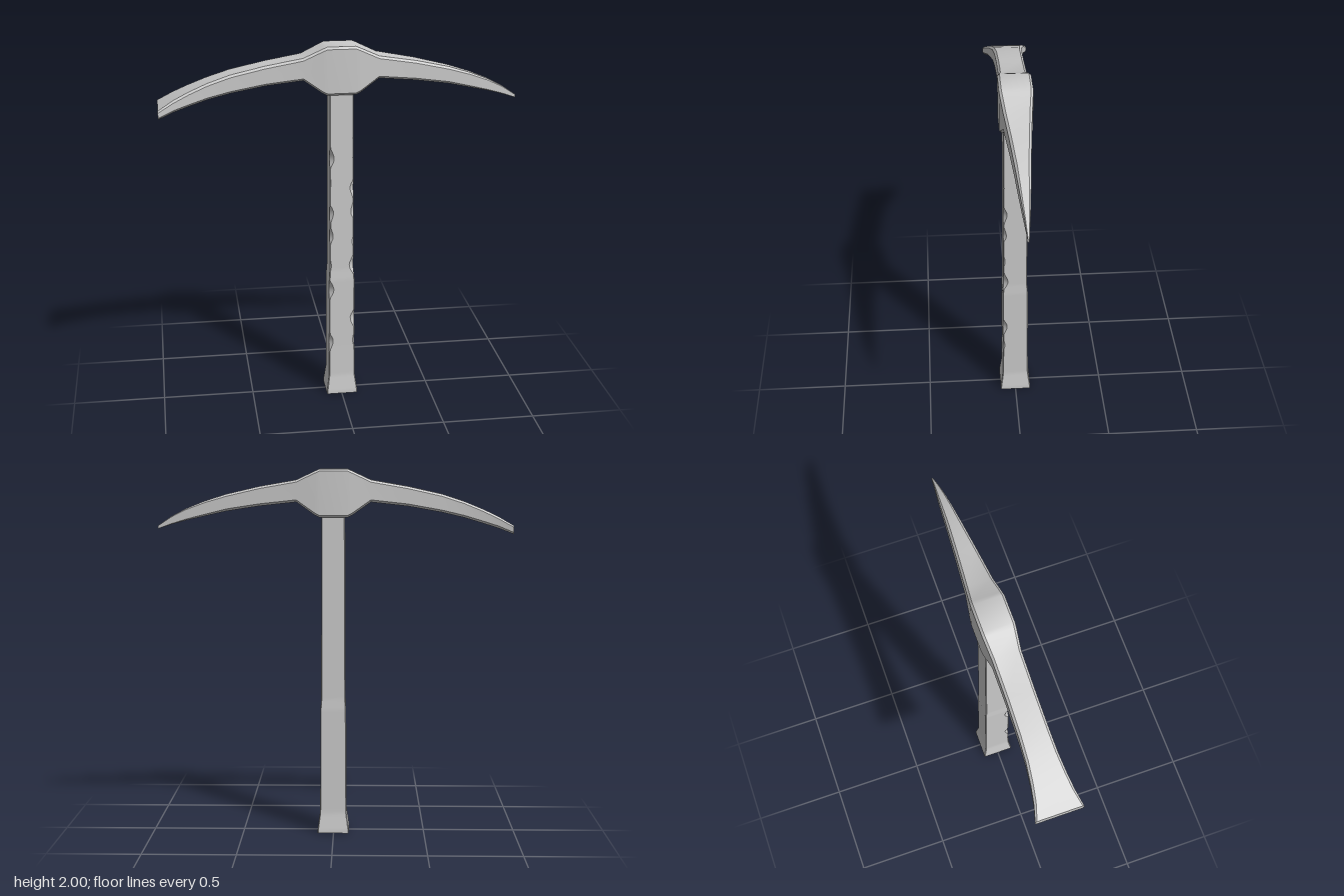
import * as THREE from 'three';
import { toCreasedNormals } from 'three/addons/utils/BufferGeometryUtils.js';

// Bevelled rectangle, counter-clockwise in (u, v); one bevel per corner: ++, -+, --, +-
function section(u0, u1, v0, v1, [a, b, c, d]) {
  return [
    [u1, v1 - a], [u1 - a, v1], [u0 + b, v1], [u0, v1 - b],
    [u0, v0 + c], [u0 + c, v0], [u1 - d, v0], [u1, v0 + d],
  ];
}

// Skin a list of rings (arrays of [x, y, z]) and close both ends
function loft(rings, crease) {
  const n = rings[0].length, last = rings.length - 1;
  const pos = rings.flat(2), index = [];
  for (let i = 0; i < last; i++) {
    for (let j = 0; j < n; j++) {
      const a = i * n + j, b = i * n + (j + 1) % n;
      index.push(a, b, b + n, a, b + n, a + n);
    }
  }
  for (let j = 1; j < n - 1; j++) {
    index.push(0, j + 1, j, last * n, last * n + j, last * n + j + 1);
  }
  const geo = new THREE.BufferGeometry();
  geo.setAttribute('position', new THREE.Float32BufferAttribute(pos, 3));
  geo.setIndex(index);
  return toCreasedNormals(geo, crease);
}

// Linear lookup in rows of [key, ...values]
function sample(rows, t) {
  let i = 0;
  while (i < rows.length - 2 && t > rows[i + 1][0]) i++;
  const k = (t - rows[i][0]) / (rows[i + 1][0] - rows[i][0]);
  return rows[i].map((v, j) => THREE.MathUtils.lerp(v, rows[i + 1][j], k));
}

export function createModel() {
  const group = new THREE.Group();
  const material = new THREE.MeshStandardMaterial({ color: 0xcccccc });
  const add = (name, geometry) => {
    const mesh = new THREE.Mesh(geometry, material);
    mesh.name = name;
    group.add(mesh);
  };

  // Head: flared blade at -x, thick socket in the middle, spike at +x
  // Columns: x, bottom y, top y, half depth
  const head = [
    [-0.96, 1.655, 1.70, 0.125],
    [-0.88, 1.685, 1.747, 0.105],
    [-0.8, 1.71, 1.785, 0.092],
    [-0.7, 1.74, 1.826, 0.081],
    [-0.58, 1.768, 1.865, 0.076],
    [-0.4, 1.80, 1.905, 0.074],
    [-0.2, 1.822, 1.94, 0.075],
    [-0.1, 1.752, 1.987, 0.085],
    [-0.075, 1.74, 1.998, 0.087],
    [0.075, 1.74, 1.998, 0.087],
    [0.1, 1.752, 1.987, 0.085],
    [0.2, 1.822, 1.94, 0.073],
    [0.4, 1.80, 1.905, 0.055],
    [0.58, 1.772, 1.863, 0.04],
    [0.7, 1.745, 1.825, 0.03],
    [0.8, 1.722, 1.785, 0.021],
    [0.88, 1.70, 1.743, 0.012],
    [0.955, 1.675, 1.692, 0.004],
  ];
  add('head', loft(head.map(([x, y0, y1, w]) => {
    const r = Math.min(0.012, w * 0.3, (y1 - y0) * 0.2);
    return section(y0, y1, -w - 0.003, w - 0.003, [r, r, r, r]).map(([y, z]) => [x, y, z]);
  }), 0.6));

  // Handle: square shaft with a flared butt and a shallow step; front edges worn
  const shaft = [
    [0, 0.086], [0.015, 0.086], [0.11, 0.073], [0.3, 0.071],
    [0.69, 0.07], [0.75, 0.066], [1.8, 0.063],
  ];
  const wear = (y, phase) => {
    const fade = THREE.MathUtils.smoothstep(y, 0.15, 0.35)
      * (1 - THREE.MathUtils.smoothstep(y, 1.35, 1.55));
    const wave = Math.sin(y * 17 + phase) + Math.sin(y * 41 + phase * 2.3);
    return 0.004 + 0.011 * fade * Math.max(0, wave);
  };
  const rings = [];
  for (let i = 0; i <= 120; i++) {
    const y = i * 0.015;
    const w = sample(shaft, y)[1];
    const left = wear(y, 0.6), right = wear(y, 3.1);
    // u = z, v = x
    rings.push(section(-w, w, -w + 0.002, w + 0.002, [left, 0.004, 0.004, right])
      .map(([z, x]) => [x, y, z]));
  }
  add('handle', loft(rings, 0.6));

  return group;
}
